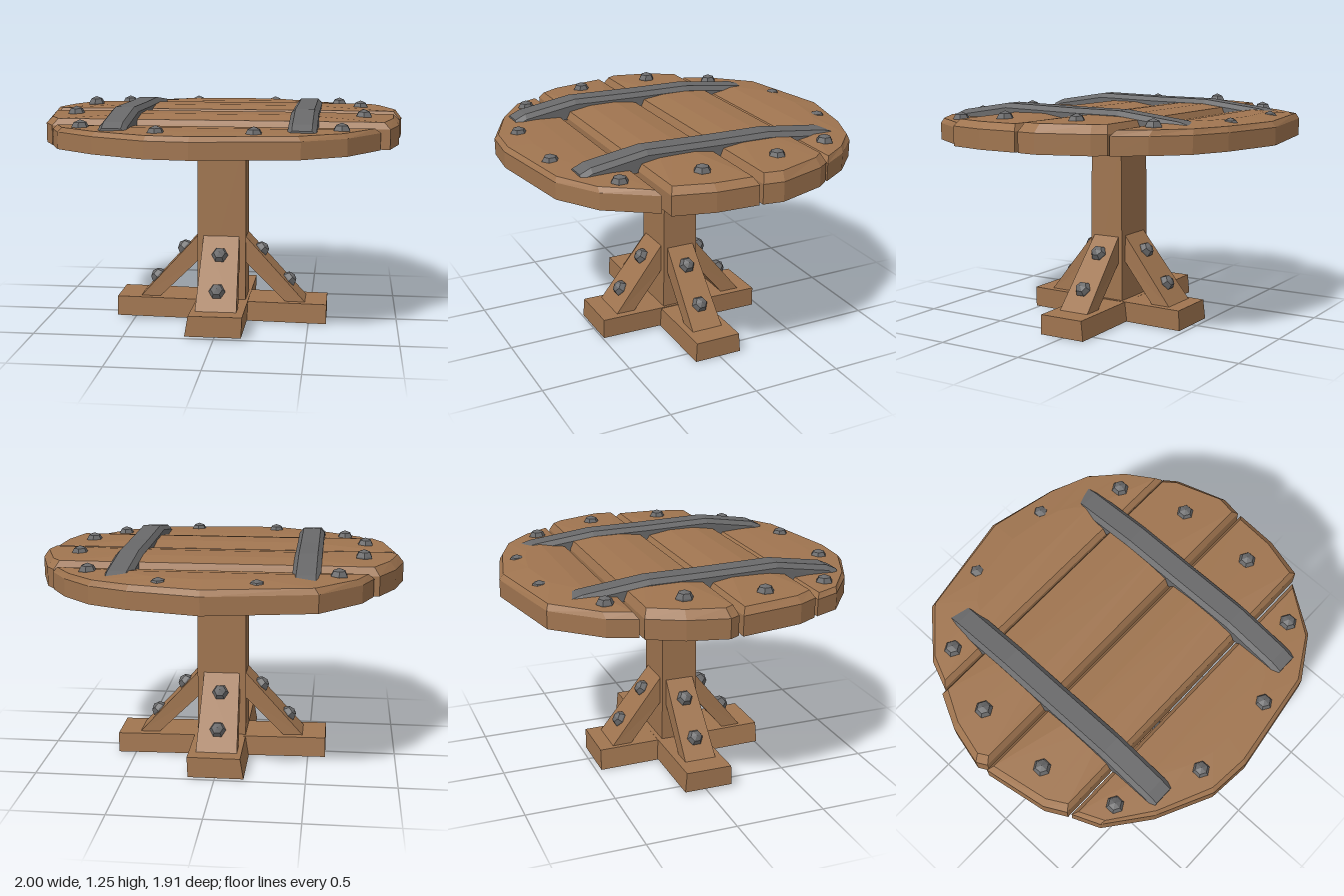
import * as THREE from 'three';

const wood = new THREE.MeshStandardMaterial({ color: 0xa07550, flatShading: true });
wood.name = 'wood';
const iron = new THREE.MeshStandardMaterial({ color: 0x69696a, flatShading: true });
iron.name = 'iron';

// Skin a solid through rings of [x, y, z] points, with a fan cap at each end.
// Rings run counter-clockwise seen from the end they advance towards.
function loft(rings) {
  const pos = [];
  const tri = (a, b, c) => pos.push(...a, ...b, ...c);
  for (let r = 0; r < rings.length - 1; r++) {
    const a = rings[r], b = rings[r + 1], n = a.length;
    for (let i = 0; i < n; i++) {
      const j = (i + 1) % n;
      tri(a[i], a[j], b[j]);
      tri(a[i], b[j], b[i]);
    }
  }
  const first = rings[0], last = rings[rings.length - 1];
  for (let i = 1; i < first.length - 1; i++) {
    tri(first[0], first[i + 1], first[i]);
    tri(last[0], last[i], last[i + 1]);
  }
  const geo = new THREE.BufferGeometry();
  geo.setAttribute('position', new THREE.Float32BufferAttribute(pos, 3));
  geo.computeVertexNormals();
  return geo;
}

function add(parent, name, geo, material) {
  const mesh = new THREE.Mesh(geo, material);
  mesh.name = name;
  parent.add(mesh);
  return mesh;
}

// Tabletop plank: straight sides, chamfered rim and a gently crowned top
function plank(outline, rim, edge, crown) {
  const xs = outline.map(p => p[0]), zs = outline.map(p => p[1]);
  const cx = (Math.min(...xs) + Math.max(...xs)) / 2;
  const cz = (Math.min(...zs) + Math.max(...zs)) / 2;
  const ring = (sx, sz, y) => outline.map(([x, z]) => [cx + (x - cx) * sx, y, cz + (z - cz) * sz]);
  return loft([ring(1, 1, 1.05), ring(1, 1, rim), ring(0.965, 0.91, edge), ring(0.5, 0.35, crown)]);
}

// Six-sided domed bolt head, base at y = 0
function boltGeometry(r) {
  const profile = [[r, -0.02], [r, 0.008], [r * 0.72, 0.032], [0, 0.046]];
  return new THREE.LatheGeometry(profile.map(p => new THREE.Vector2(...p)), 6);
}

// Slightly skewed box from a bottom and a top rectangle [x0, x1, y, z0, z1]
function block(bottom, top) {
  const ring = ([x0, x1, y, z0, z1]) => [[x0, y, z1], [x1, y, z1], [x1, y, z0], [x0, y, z0]];
  return loft([ring(bottom), ring(top)]);
}

export function createModel() {
  const model = new THREE.Group();
  model.name = 'table';

  // Tabletop planks, back to front
  const planks = [
    ['backPlank', [[0.86, -0.465], [0.76, -0.625], [0.6, -0.78], [0.39, -0.87], [0.015, -0.957],
      [-0.555, -0.85], [-0.77, -0.615], [-0.83, -0.465]], 1.145, 1.175, 1.195],
    ['middleBackPlank', [[-0.86, -0.45], [-0.95, -0.27], [-1, -0.06], [-0.97, -0.005], [0.985, -0.01],
      [1, -0.12], [0.91, -0.39], [0.86, -0.455]], 1.155, 1.2, 1.215],
    ['middleFrontPlank', [[-0.99, 0.01], [-0.93, 0.35], [-0.87, 0.46], [0.92, 0.455], [0.975, 0.24],
      [0.985, 0.01]], 1.155, 1.19, 1.21],
    ['frontPlank', [[-0.86, 0.48], [-0.8, 0.62], [-0.58, 0.79], [-0.29, 0.93], [-0.065, 0.95],
      [0.475, 0.87], [0.7, 0.73], [0.87, 0.48]], 1.14, 1.165, 1.172],
  ];
  for (const [name, outline, rim, edge, crown] of planks) add(model, name, plank(outline, rim, edge, crown), wood);

  // Iron straps arching over the planks
  const arch = [[-0.75, 1.172], [-0.66, 1.198], [-0.31, 1.24], [0, 1.243], [0.4, 1.252], [0.7, 1.205], [0.76, 1.178]];
  for (const [name, x] of [['leftStrap', 0.475], ['rightStrap', -0.485]]) {
    const rings = arch.map(([z, y]) => [[x - 0.075, 1.145, z], [x + 0.075, 1.145, z],
      [x + 0.073, y - 0.025, z], [x + 0.05, y, z], [x - 0.05, y, z], [x - 0.073, y - 0.025, z]]);
    add(model, name, loft(rings), iron);
  }

  // Bolts around the tabletop: x, base height, z
  const topBolts = [[-0.25, 1.16, -0.805], [0.24, 1.16, -0.805], [-0.65, 1.177, -0.58], [0.645, 1.177, -0.585],
    [-0.78, 1.205, -0.215], [0.77, 1.195, -0.215], [-0.795, 1.19, 0.215], [0.785, 1.19, 0.22],
    [-0.68, 1.16, 0.61], [0.67, 1.16, 0.61], [-0.25, 1.158, 0.805], [0.24, 1.158, 0.805]];
  for (const [x, y, z] of topBolts) add(model, 'topBolt', boltGeometry(0.047), iron).position.set(x, y, z);

  // Post and crossed feet
  add(model, 'post', block([-0.14, 0.14, 0.005, -0.095, 0.12], [-0.135, 0.138, 1.06, -0.085, 0.108]), wood);
  const sideFoot = add(model, 'sideFoot',
    block([-0.6, 0.6, 0, -0.13, 0.145], [-0.6, 0.6, 0.112, -0.12, 0.14]), wood);
  sideFoot.position.y = 0.012;
  sideFoot.rotation.z = -0.013;
  const frontFoot = add(model, 'frontFoot',
    block([-0.16, 0.15, 0, -0.47, 0.5], [-0.14, 0.155, 0.115, -0.465, 0.5]), wood);
  frontFoot.position.y = 0.01;
  frontFoot.rotation.x = -0.012;

  // Four diagonal braces, each with two bolts; built along +x and turned into place
  const braces = [['leftBrace', 0, 0.48, 0.09], ['backBrace', Math.PI / 2, 0.4, 0.115],
    ['rightBrace', Math.PI, 0.48, 0.09], ['frontBrace', -Math.PI / 2, 0.4, 0.115]];
  for (const [name, turn, reach, w] of braces) {
    const group = new THREE.Group();
    group.name = name;
    group.rotation.y = turn;
    group.position.z = 0.012;
    const inner = reach > 0.45 ? 0.12 : 0.09;
    const side = s => [[inner, 0.36, s * w * 0.9], [reach - 0.11, 0.115, s * w],
      [reach, 0.115, s * w], [inner, 0.51, s * w * 0.88]];
    add(group, 'braceBeam', loft([side(-1), side(1)]), wood);
    for (const y of [0.4, 0.225]) {
      const bolt = add(group, 'braceBolt', boltGeometry(0.046), iron);
      bolt.position.set(inner + (reach - inner) * (0.51 - y) / 0.395, y, 0);
      bolt.rotation.z = -Math.atan2(0.395, reach - inner);
    }
    model.add(group);
  }
  return model;
}
